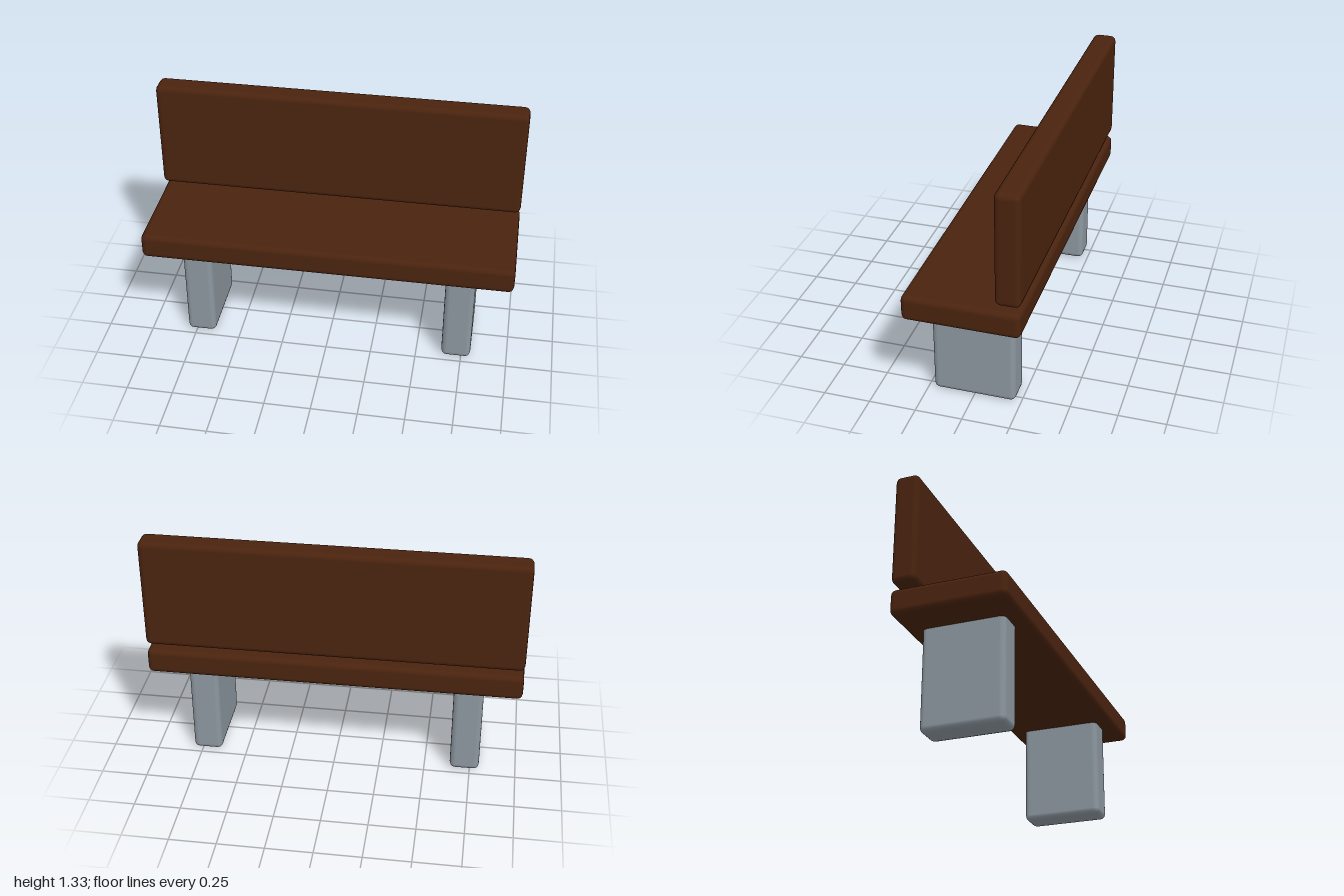
import * as THREE from 'three';
import { RoundedBoxGeometry } from 'three/addons/geometries/RoundedBoxGeometry.js';

export function createModel() {
  const bench = new THREE.Group();
  bench.name = 'bench';

  const wood = new THREE.MeshStandardMaterial({ color: 0x4a230e });
  wood.name = 'dark brown wood';
  const stone = new THREE.MeshStandardMaterial({ color: 0x8c979f });
  stone.name = 'grey stone';

  // Softly bevelled slab placed by its centre
  function slab(name, material, size, position) {
    const mesh = new THREE.Mesh(new RoundedBoxGeometry(...size, 2, 0.03), material);
    mesh.name = name;
    mesh.position.set(...position);
    bench.add(mesh);
  }

  // Seat plank and the backrest floating just above its rear edge
  slab('seat', wood, [2, 0.14, 0.61], [0, 0.615, 0]);
  slab('backrest', wood, [2, 0.61, 0.13], [0, 1.025, -0.24]);

  // Two block legs, their tops sunk into the seat
  for (const side of [1, -1]) {
    slab(side > 0 ? 'leftLeg' : 'rightLeg', stone, [0.16, 0.6, 0.44], [side * 0.72, 0.3, 0]);
  }

  return bench;
}
